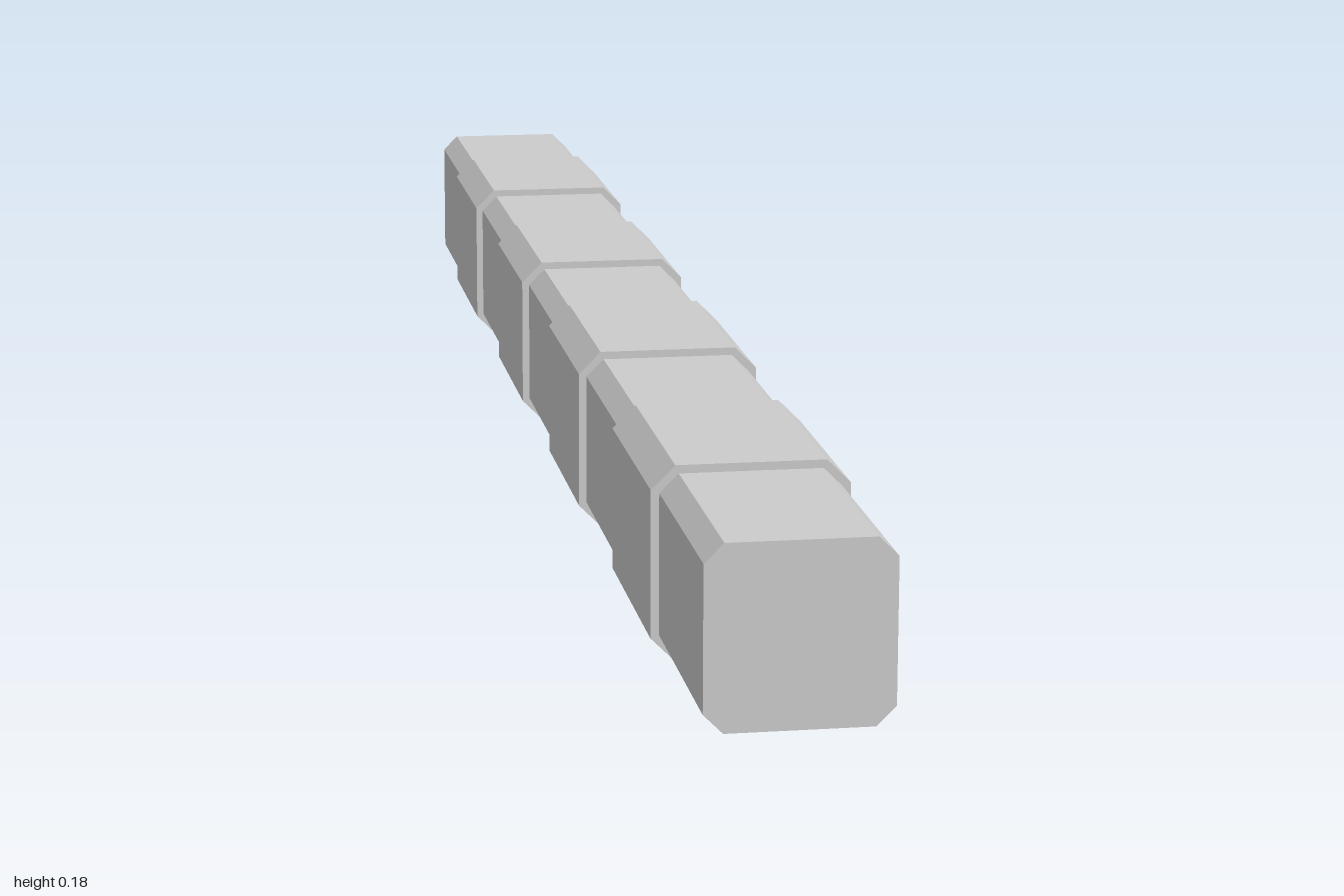
import * as THREE from 'three';

const LENGTH = 2, COUNT = 9, CENTRE_Y = 0.0885;

// Square outline with chamfered corners: h = half width, c = chamfer
function chamferedSquare(h, c) {
  const f = h - c;
  return new THREE.Shape([
    [f, -h], [h, -f], [h, f], [f, h], [-f, h], [-h, f], [-h, -f], [-f, -h],
  ].map(([x, y]) => new THREE.Vector2(x, y)));
}

export function createModel() {
  const group = new THREE.Group();
  group.name = 'segmentedBar';
  const material = new THREE.MeshStandardMaterial({ color: 0xcccccc, flatShading: true });

  const depth = LENGTH / COUNT;
  const extrude = (h, c) =>
    new THREE.ExtrudeGeometry(chamferedSquare(h, c), { depth, bevelEnabled: false });
  const narrow = extrude(0.081, 0.017);
  const wide = extrude(0.0885, 0.0215);

  // Narrow and wide segments alternate along z, narrow at both ends
  for (let i = 0; i < COUNT; i++) {
    const isWide = i % 2 === 1;
    const segment = new THREE.Mesh(isWide ? wide : narrow, material);
    segment.name = (isWide ? 'wideSegment' : 'narrowSegment') + (i + 1);
    segment.position.set(0, CENTRE_Y, -LENGTH / 2 + i * depth);
    group.add(segment);
  }
  return group;
}
